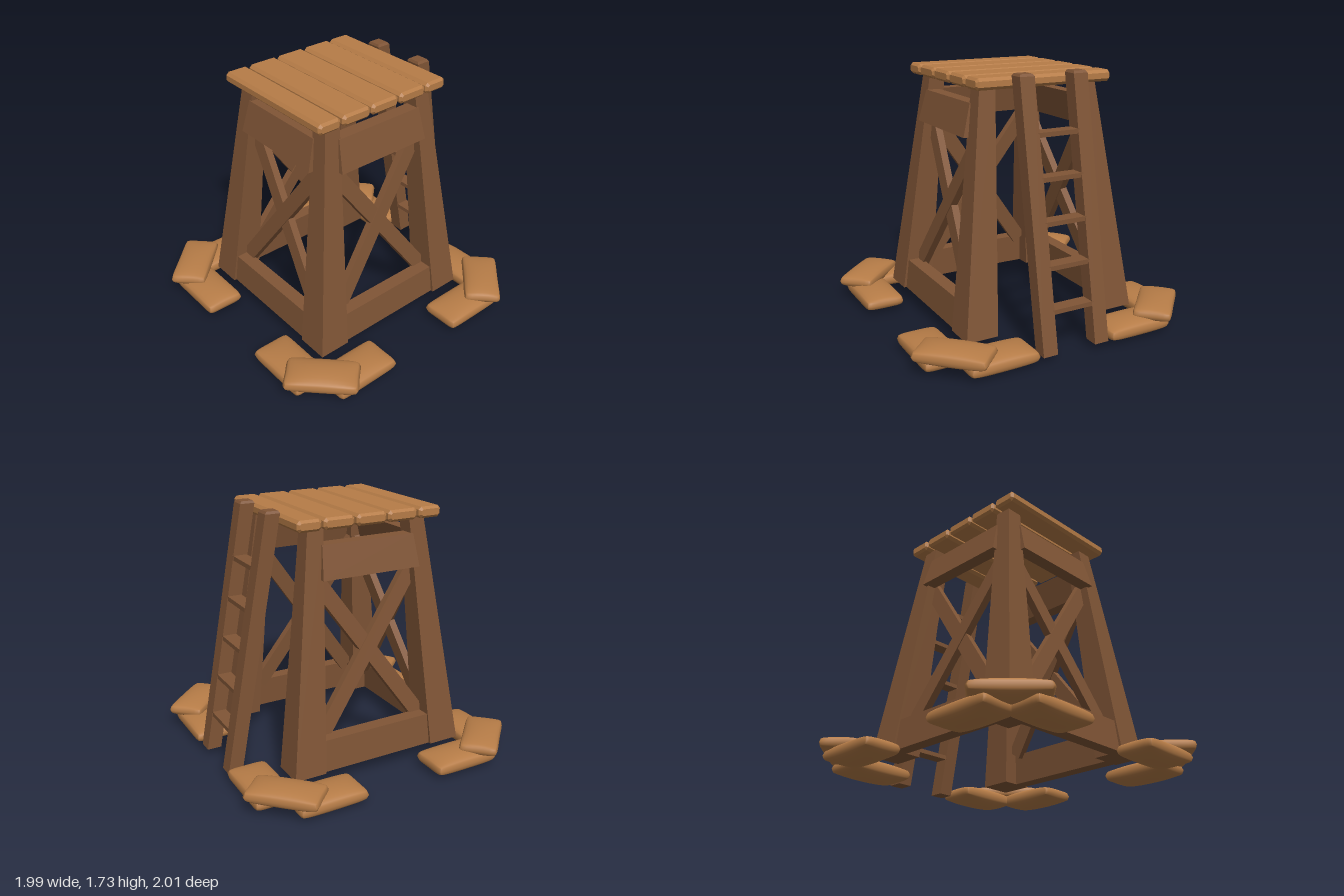
import * as THREE from 'three';
import { mergeVertices } from 'three/addons/utils/BufferGeometryUtils.js';

const mat = (name, color) => {
  const m = new THREE.MeshStandardMaterial({ color });
  m.name = name;
  return m;
};

function add(parent, name, geometry, material) {
  const mesh = new THREE.Mesh(geometry, material);
  mesh.name = name;
  parent.add(mesh);
  return mesh;
}

// Box whose bottom and top are separate rectangles [x0, x1, z0, z1]
function taperedBox(y0, y1, bottom, top) {
  const g = new THREE.BoxGeometry(1, 1, 1);
  const p = g.attributes.position;
  for (let i = 0; i < p.count; i++) {
    const up = p.getY(i) > 0;
    const r = up ? top : bottom;
    p.setXYZ(i, p.getX(i) > 0 ? r[1] : r[0], up ? y1 : y0, p.getZ(i) > 0 ? r[3] : r[2]);
  }
  g.computeVertexNormals();
  return g;
}

// Board along z with all edges chamfered
function chamferedBoard(w, h, l, c) {
  const x = w / 2 - c, y = h / 2 - c, k = c * 0.6;
  const s = new THREE.Shape([
    [-x + k, -y], [x - k, -y], [x, -y + k], [x, y - k],
    [x - k, y], [-x + k, y], [-x, y - k], [-x, -y + k],
  ].map(([a, b]) => new THREE.Vector2(a, b)));
  const g = new THREE.ExtrudeGeometry(s, {
    depth: l - 2 * c, bevelEnabled: true, bevelThickness: c, bevelSize: c, bevelSegments: 1,
  });
  g.translate(0, 0, c - l / 2);
  return g;
}

// Pillow shape: thick in the middle, thinner at the rim, rounded corners
function bagGeometry(l, h, w) {
  const box = new THREE.BoxGeometry(2, 2, 2, 14, 2, 10);
  box.deleteAttribute('normal');
  box.deleteAttribute('uv');
  const g = mergeVertices(box);
  const p = g.attributes.position;
  for (let i = 0; i < p.count; i++) {
    // Crowd the rows toward the rim so the curve stays round
    const u = Math.sin(p.getX(i) * Math.PI / 2), v = Math.sin(p.getZ(i) * Math.PI / 2);
    const t = 0.35 + 0.65 * Math.sqrt(Math.max(0, (1 - u * u) * (1 - v * v)));
    const round = 1 - 0.07 * (u * v) ** 6;
    const rim = 1 - 0.04 * p.getY(i) ** 2;
    p.setXYZ(i,
      u * l / 2 * (1 - 0.03 * (1 - v * v)) * round * rim,
      p.getY(i) * h / 2 * t,
      v * w / 2 * (1 - 0.03 * (1 - u * u)) * round * rim);
  }
  g.computeVertexNormals();
  return g;
}

export function createModel() {
  const model = new THREE.Group();
  model.name = 'watchtower';
  const frame = mat('dark wood', 0x805536);
  const tan = mat('tan', 0xb67c47);

  // Tower frame: four legs, with beams and braces on all sides but the ladder side
  const tower = new THREE.Group();
  tower.name = 'tower';
  tower.position.set(-0.003, 0, -0.012);
  model.add(tower);
  const leg = taperedBox(0.1, 1.64, [0.405, 0.624, 0.405, 0.624], [0.31, 0.42, 0.31, 0.42]);
  const lowerBeam = taperedBox(0.1, 0.31, [-0.42, 0.42, 0.51, 0.605], [-0.41, 0.41, 0.49, 0.585]);
  const upperBeam = taperedBox(1.33, 1.54, [-0.35, 0.35, 0.405, 0.495], [-0.33, 0.33, 0.35, 0.44]);
  const brace = new THREE.BoxGeometry(1.28, 0.105, 0.05);
  const ladderSide = 1;
  for (let i = 0; i < 4; i++) {
    const side = new THREE.Group();
    side.name = 'towerSide';
    side.rotation.y = i * Math.PI / 2;
    tower.add(side);
    add(side, 'leg', leg, frame);
    if (i === ladderSide) continue;
    add(side, 'lowerBeam', lowerBeam, frame);
    add(side, 'upperBeam', upperBeam, frame);
    // Braces cross behind the beams, leaning with the legs
    const cross = new THREE.Group();
    cross.name = 'crossBrace';
    cross.position.set(0, 0.82, 0.43);
    cross.rotation.x = -0.1;
    side.add(cross);
    for (const s of [-1, 1]) {
      const b = add(cross, 'brace', brace, frame);
      b.rotation.z = s * 0.95;
      b.position.z = s * 0.003;
    }
  }

  // Platform planks: [x0, x1]
  for (const [x0, x1] of [[-0.515, -0.35], [-0.335, -0.12], [-0.11, 0.105], [0.12, 0.333], [0.345, 0.51]]) {
    const plank = add(model, 'plank', chamferedBoard(x1 - x0, 0.074, 0.965, 0.016), tan);
    plank.position.set((x0 + x1) / 2, 1.673, -0.012);
  }

  // Leaning ladder
  const ladder = new THREE.Group();
  ladder.name = 'ladder';
  ladder.position.z = -0.007;
  model.add(ladder);
  for (const z of [-0.19, 0.19]) {
    const z0 = z - 0.051, z1 = z + 0.051;
    add(ladder, 'ladderRail',
      taperedBox(0.04, 1.715, [0.815, 0.913, z0, z1], [0.503, 0.602, z0, z1]), frame);
    add(ladder, 'ladderRailCap',
      taperedBox(1.715, 1.73, [0.503, 0.602, z0, z1], [0.511, 0.59, z0 + 0.01, z1 - 0.01]), frame);
  }
  for (let i = 0; i < 5; i++) {
    const y = 0.3 + i * 0.267;
    const rung = add(ladder, 'rung', new THREE.BoxGeometry(0.095, 0.03, 0.3), frame);
    rung.position.set(0.864 - 0.186 * (y - 0.04), y, 0);
  }

  // Sandbags: two on the ground and one across them at each corner
  const lowBag = bagGeometry(0.49, 0.125, 0.28);
  const topBag = bagGeometry(0.49, 0.12, 0.26);
  for (const sx of [-1, 1]) for (const sz of [-1, 1]) {
    const corner = new THREE.Group();
    corner.name = 'sandbagCorner';
    model.add(corner);
    add(corner, 'sandbag', lowBag, tan).position.set(sx * 0.5, 0.065, sz * 0.805);
    const second = add(corner, 'sandbag', lowBag, tan);
    second.position.set(sx * 0.8, 0.065, sz * 0.5);
    second.rotation.y = Math.PI / 2;
    const top = add(corner, 'topSandbag', topBag, tan);
    top.position.set(sx * 0.748, 0.13, sz * 0.757);
    top.rotation.y = sx * sz * Math.PI / 4;
  }
  return model;
}
